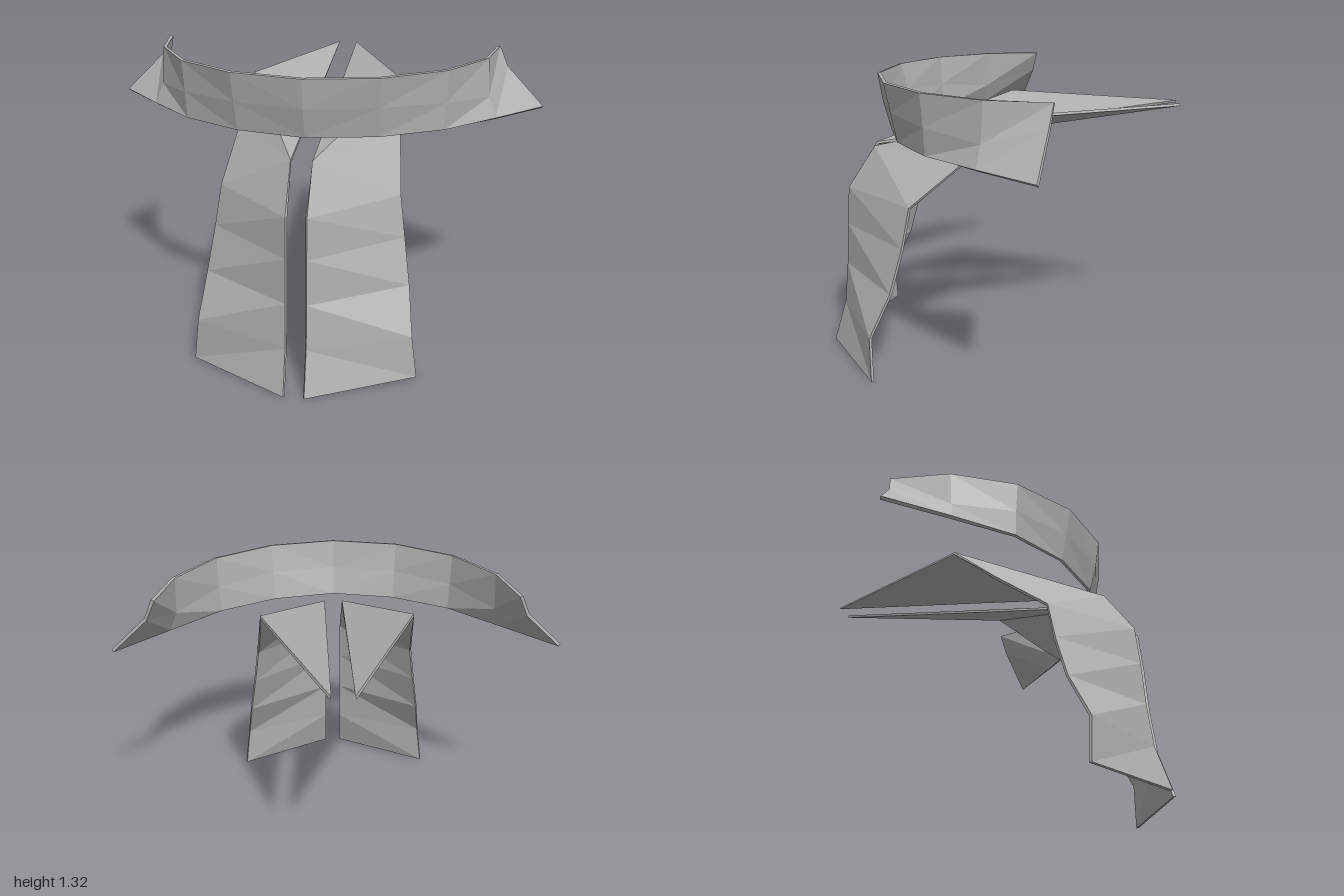
import * as THREE from 'three';

// Thin closed sheet: front skin, back skin pushed in along the normals, and a rim
function sheet(points, tris, thickness) {
  const n = points.length;
  const skin = new THREE.BufferGeometry();
  skin.setAttribute('position', new THREE.Float32BufferAttribute(points.flat(), 3));
  skin.setIndex(tris.flat());
  skin.computeVertexNormals();
  const normal = skin.attributes.normal;
  const back = points.map((p, i) => [
    p[0] - normal.getX(i) * thickness,
    p[1] - normal.getY(i) * thickness,
    p[2] - normal.getZ(i) * thickness,
  ]);
  const edges = new Set();
  const index = [];
  for (const [a, b, c] of tris) {
    index.push(a, b, c, a + n, c + n, b + n);
    for (const [p, q] of [[a, b], [b, c], [c, a]]) edges.add(p + '_' + q);
  }
  for (const edge of edges) {
    const [a, b] = edge.split('_').map(Number);
    if (!edges.has(b + '_' + a)) index.push(b, a, a + n, b, a + n, b + n);
  }
  const g = new THREE.BufferGeometry();
  g.setAttribute('position', new THREE.Float32BufferAttribute([...points, ...back].flat(), 3));
  g.setIndex(index);
  const flat = g.toNonIndexed();
  flat.computeVertexNormals();
  return flat;
}

// Hanging panel that folds back into a pointed wing; side is +1 or -1
function panelGeometry(side) {
  const inner = [[0, 0.82], [0.2, 0.76], [0.4, 0.74], [0.6, 0.73], [0.78, 0.715], [0.978, 0.585]]
    .map(([y, z]) => [0.045 * side, y, z]);
  const outer = [
    [0.5, 0, 0.58], [0.475, 0.2, 0.585], [0.45, 0.4, 0.49], [0.42, 0.6, 0.435],
    [0.395, 0.78, 0.4], [0.367, 0.985, 0.15], [0.342, 1.175, -0.06],
  ].map(([x, y, z]) => [x * side, y, z]);
  const points = [...inner, ...outer, [0.045 * side, 1.175, -0.82]];
  const O = inner.length;
  const tris = [];
  for (let i = 0; i < 5; i++) tris.push([i, O + i, i + 1], [O + i, O + i + 1, i + 1]);
  tris.push([5, O + 5, O + 6], [5, O + 6, O + 7]);
  return sheet(points, side > 0 ? tris : tris.map(([a, b, c]) => [a, c, b]), 0.012);
}

// Curved band, three rows tall, flaring at its ends
function bandGeometry() {
  // each column: bottom, middle, top
  const half = [
    [[0, 1.05, 0.51], [0, 1.18, 0.545], [0, 1.31, 0.565]],
    [[0.3, 1.05, 0.45], [0.305, 1.18, 0.475], [0.31, 1.31, 0.5]],
    [[0.56, 1.05, 0.31], [0.565, 1.17, 0.315], [0.57, 1.31, 0.325]],
    [[0.78, 1.05, 0.1], [0.745, 1.14, 0.08], [0.735, 1.31, 0.07]],
    [[1, 1.05, -0.125], [0.83, 1.22, -0.175], [0.79, 1.31, -0.195]],
  ];
  const mirrored = half.slice(1).reverse().map(col => col.map(([x, y, z]) => [-x, y, z]));
  const columns = [...mirrored, ...half];
  const tris = [];
  for (let i = 0; i < columns.length - 1; i++) {
    for (let j = 0; j < 2; j++) {
      const a = i * 3 + j, b = a + 3;
      if (i < 4) tris.push([a, b, a + 1], [b, b + 1, a + 1]);
      else tris.push([a, b, b + 1], [a, b + 1, a + 1]);
    }
  }
  return sheet(columns.flat(), tris, 0.015);
}

export function createModel() {
  const group = new THREE.Group();
  group.name = 'armorPlates';
  const grey = new THREE.MeshStandardMaterial({ color: 0xb0b0b0 });
  grey.name = 'grey';
  const add = (name, geometry) => {
    const mesh = new THREE.Mesh(geometry, grey);
    mesh.name = name;
    group.add(mesh);
  };
  add('leftPanel', panelGeometry(1));
  add('rightPanel', panelGeometry(-1));
  add('curvedBand', bandGeometry());
  return group;
}
